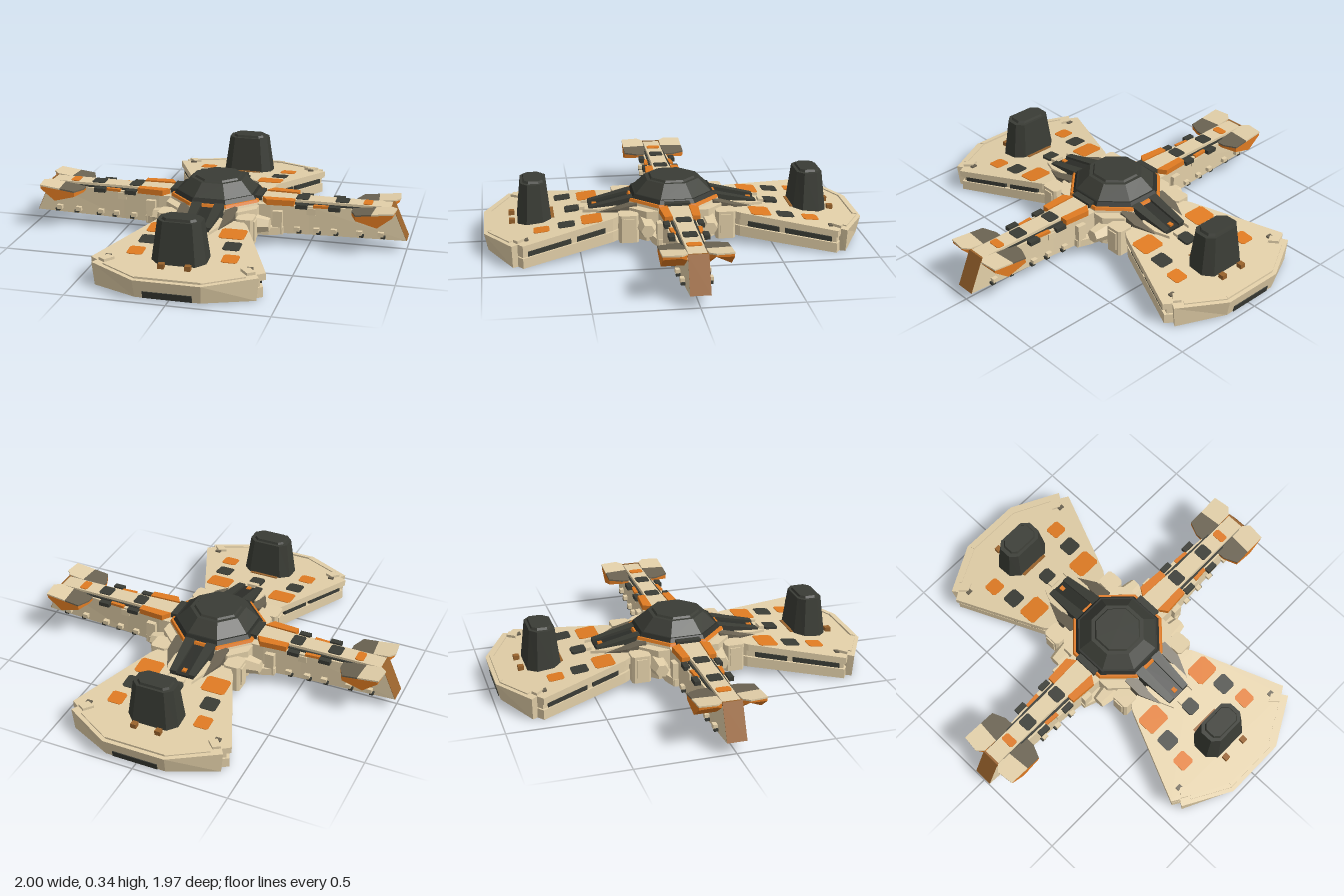
import * as THREE from 'three';

const paint = (name, color) => {
  const m = new THREE.MeshStandardMaterial({ color });
  m.name = name;
  return m;
};

export function createModel() {
  const sand = paint('sand hull', 0xe2cfa8);
  const dark = paint('charcoal', 0x3a3c35);
  const black = paint('deep charcoal', 0x2c2e29);
  const orange = paint('orange', 0xe07b22);
  const brown = paint('brown', 0x9a632c);
  const shade = paint('grey brown', 0x6b6352);

  const add = (parent, name, geo, mat) => {
    const m = new THREE.Mesh(geo, mat);
    m.name = name;
    parent.add(m);
    return m;
  };
  const box = (parent, name, mat, w, h, d, x, y, z) => {
    const m = add(parent, name, new THREE.BoxGeometry(w, h, d), mat);
    m.position.set(x, y, z);
    return m;
  };
  // Prism over an [x, z] outline; warp moves each vertex, with v.y exactly 0 (bottom) or 1 (top)
  const slab = (parent, name, mat, pts, warp) => {
    const shape = new THREE.Shape(pts.map(([x, z]) => new THREE.Vector2(x, -z)));
    const g = new THREE.ExtrudeGeometry(shape, { depth: 1, bevelEnabled: false });
    g.rotateX(-Math.PI / 2);
    const p = g.attributes.position, v = new THREE.Vector3();
    for (let i = 0; i < p.count; i++) {
      v.fromBufferAttribute(p, i);
      v.y = Math.round(v.y);
      warp(v);
      p.setXYZ(i, v.x, v.y, v.z);
    }
    g.computeVertexNormals();
    return add(parent, name, g, mat);
  };
  const mirrorX = (half) => [...half, ...half.map(([x, z]) => [-x, z]).reverse()];
  const mirrorZ = (half) => [...half, ...half.map(([x, z]) => [x, -z]).reverse()];
  const rect = (x0, x1, z0, z1, c = 0) => [
    [x0 + c, z0], [x1 - c, z0], [x1, z0 + c], [x1, z1 - c],
    [x1 - c, z1], [x0 + c, z1], [x0, z1 - c], [x0, z0 + c]];
  const flat = (y0, y1) => (v) => { v.y = y0 + (y1 - y0) * v.y; };

  // Sloping upper and lower faces of the broad wings
  const top = (z) => 0.11 + (1 - z) * 0.11;
  const bot = (z) => (z < 0.82 ? 0.008 + (0.82 - z) * 0.09 : 0.008 + (z - 0.82) * 0.08);
  const layer = (t0, t1) => (v) => {
    const t = t0 + (t1 - t0) * v.y;
    v.y = bot(v.z) + (top(v.z) - bot(v.z)) * t;
  };
  const onTop = (lo, hi) => (v) => { v.y = top(v.z) + lo + (hi - lo) * v.y; };

  function makeWing() {
    const g = new THREE.Group();
    g.name = 'broadWing';
    const main = (i) => mirrorX([[0.2 - i, 0.29], [0.23 - i, 0.33], [0.43 - i, 0.795], [0.39 - i, 0.82]]);
    slab(g, 'lowerWingHull', sand, main(0.012), layer(0, 0.42));
    slab(g, 'wingSideRecess', sand, main(0.028), layer(0.42, 0.72));
    slab(g, 'upperWingHull', sand, main(0), layer(0.72, 1));
    slab(g, 'wingProw', sand, mirrorX([[0.39, 0.82], [0.41, 0.85], [0.165, 0.985]]), (v) => {
      const lower = v.y === 0;
      layer(0, 1)(v);
      if (lower) {
        v.x *= 0.97;
        v.z = 0.82 + (v.z - 0.82) * 0.88;
      }
    });
    box(g, 'prowHatch', dark, 0.24, 0.035, 0.009, 0, 0.04, 0.969).rotation.x = 0.21;
    slab(g, 'prowRidge', sand, mirrorX([[0.15, 0.945], [0.16, 0.965]]), onTop(-0.01, 0.01));

    for (const s of [-1, 1]) {
      const m = (pts) => pts.map(([x, z]) => [s * x, z]);
      // Painted deck panels
      slab(g, 'largeDeckPanel', orange, m(rect(0.12, 0.25, 0.385, 0.49, 0.012)), onTop(-0.003, 0.003));
      slab(g, 'darkDeckPanel', dark, m(rect(0.17, 0.255, 0.525, 0.61, 0.01)), onTop(-0.003, 0.003));
      slab(g, 'smallDeckPanel', orange, m(rect(0.195, 0.275, 0.655, 0.735, 0.01)), onTop(-0.003, 0.003));
      // Equipment bars in the side slots
      for (const [z0, z1] of [[0.37, 0.52], [0.55, 0.77]]) {
        const x = (z) => 0.23 + (z - 0.33) * 0.43;
        slab(g, 'sideSlotBar', dark, m([[x(z0) - 0.05, z0], [x(z0) - 0.012, z0],
          [x(z1) - 0.012, z1], [x(z1) - 0.05, z1]]), layer(0.46, 0.66));
      }
      // Corner clamps, ridges and tower-foot knobs
      slab(g, 'cornerClamp', sand, m([[0.31, 0.8], [0.35, 0.78], [0.385, 0.82], [0.35, 0.84]]), onTop(-0.01, 0.014));
      slab(g, 'cornerClampGap', shade, m(rect(0.335, 0.365, 0.765, 0.785)), onTop(-0.01, 0.008));
      slab(g, 'prowSideRidge', sand, m([[0.15, 0.945], [0.34, 0.845], [0.35, 0.86], [0.16, 0.965]]), onTop(-0.01, 0.006));
      box(g, 'footKnob', brown, 0.03, 0.025, 0.03, s * 0.065, 0.138, 0.84);
      // Pointed cheeks beside the ramp
      slab(g, 'rampCheek', sand, m([[0.065, 0.3], [0.1, 0.3], [0.1, 0.4], [0.068, 0.475]]), onTop(-0.03, 0.015));
      slab(g, 'rampFlank', shade, m([[0.09, 0.19], [0.15, 0.2], [0.15, 0.3], [0.1, 0.41]]), (v) => {
        v.y = v.y ? 0.23 - (v.z - 0.2) * 0.26 : 0.09;
      });
      slab(g, 'rampRail', dark, m([[0.032, 0.18], [0.09, 0.18], [0.07, 0.44], [0.034, 0.44]]), (v) => {
        v.y = v.y ? 0.255 - (v.z - 0.18) * 0.23 : 0.1;
      });
    }
    // Dark ramp joining wing to hub
    slab(g, 'rampCentre', black, rect(-0.035, 0.035, 0.18, 0.44), (v) => {
      v.y = v.y ? 0.24 - (v.z - 0.18) * 0.22 : 0.1;
    });
    box(g, 'rampLamp', orange, 0.022, 0.014, 0.025, 0, 0.19, 0.41);
    slab(g, 'deckVent', dark, rect(-0.036, 0.036, 0.49, 0.565, 0.01), onTop(-0.01, 0.012));
    slab(g, 'ventFrame', sand, rect(-0.03, 0.03, 0.462, 0.49), onTop(-0.01, 0.016));

    // Tall tapered tower
    const taper = (kx, kz, y0, y1) => (v) => {
      v.x *= 1 + (kx - 1) * v.y;
      v.z = 0.725 + (v.z - 0.725) * (1 + (kz - 1) * v.y);
      v.y = y0 + (y1 - y0) * v.y;
    };
    slab(g, 'tower', dark, rect(-0.138, 0.138, 0.635, 0.812, 0.045), taper(0.78, 0.74, 0.12, 0.34));
    slab(g, 'towerCap', dark, rect(-0.09, 0.09, 0.672, 0.778, 0.025), taper(0.9, 0.9, 0.335, 0.352));
    slab(g, 'towerCollar', brown, rect(-0.08, 0.08, 0.622, 0.64), onTop(-0.01, 0.004));
    // Underside hatch
    slab(g, 'bellyHatch', dark, rect(-0.09, 0.09, 0.48, 0.6, 0.035), (v) => { v.y = bot(v.z) - 0.006 + 0.012 * v.y; });
    slab(g, 'bellyHatchDoor', black, rect(-0.05, 0.05, 0.51, 0.57), (v) => { v.y = bot(v.z) - 0.01 + 0.012 * v.y; });
    return g;
  }

  function makeArm() {
    const g = new THREE.Group();
    g.name = 'longArm';
    const rake = (y0, y1) => (v) => {
      v.y = y0 + (y1 - y0) * v.y;
      if (v.x > 0.9) v.x = 1 - 0.44 * (v.y - 0.07);
    };
    slab(g, 'armHull', sand, mirrorZ([[0.15, 0.1], [0.3, 0.098], [0.5, 0.08], [0.99, 0.05]]), rake(0.07, 0.222));
    slab(g, 'armSpine', sand, mirrorZ([[0.2, 0.06], [0.5, 0.045], [0.99, 0.045]]), rake(0.22, 0.242));
    slab(g, 'armEndCap', brown, rect(0.975, 0.99, -0.05, 0.05), (v) => {
      const outer = v.x > 0.98;
      v.y = 0.07 + 0.175 * v.y;
      v.x = 1 - 0.44 * (v.y - 0.07) + (outer ? 0.002 : -0.008);
    });
    // Painted top panels
    for (const [x0, x1, w, mat] of [[0.42, 0.485, 0.038, dark], [0.625, 0.695, 0.036, dark], [0.77, 0.815, 0.036, orange]])
      slab(g, 'spinePanel', mat, rect(x0, x1, -w, w, 0.008), flat(0.238, 0.246));
    for (const s of [-1, 1]) {
      const m = (pts) => pts.map(([x, z]) => [x, s * z]);
      slab(g, 'shoulderPanel', orange, m([[0.25, 0.055], [0.42, 0.05], [0.42, 0.09], [0.28, 0.1]]), flat(0.22, 0.25));
      slab(g, 'edgeGroove', dark, m([[0.42, 0.05], [0.9, 0.045], [0.9, 0.053], [0.42, 0.062]]), flat(0.218, 0.23));
      slab(g, 'edgeRail', orange, m([[0.52, 0.062], [0.6, 0.058], [0.6, 0.076], [0.52, 0.082]]), flat(0.216, 0.23));
      // Side nubs high and low
      for (const x of [0.46, 0.63]) box(g, 'upperNub', dark, 0.06, 0.022, 0.03, x, 0.222, s * 0.085);
      for (const x of [0.44, 0.54, 0.63, 0.76, 0.87]) {
        box(g, 'lowerNub', sand, 0.03, 0.022, 0.03, x, 0.1, s * (0.09 - (x - 0.44) * 0.06));
        box(g, 'lowerNubFoot', dark, 0.022, 0.014, 0.026, x + 0.012, 0.086, s * (0.09 - (x - 0.44) * 0.06));
      }
      box(g, 'sidePort', sand, 0.045, 0.035, 0.012, 0.51, 0.195, s * 0.08);
      // Flared fin: sand and grey deck over an orange keel
      const deckY = (x) => 0.225 + (x - 0.72) * 0.12;
      const keelY = (x) => (x < 0.86 ? 0.205 - (x - 0.72) * 0.27 : 0.167 + (x - 0.86) * 0.8);
      const deck = (v) => { v.y = deckY(v.x) - (v.y ? 0 : 0.008); };
      const keel = (v) => { v.y = v.y ? deckY(v.x) - 0.008 : keelY(v.x); };
      slab(g, 'finInnerDeck', shade, m([[0.72, 0.05], [0.84, 0.05], [0.83, 0.17], [0.75, 0.17], [0.72, 0.1]]), deck);
      slab(g, 'finOuterDeck', sand, m([[0.84, 0.05], [0.92, 0.05], [0.95, 0.08], [0.94, 0.17], [0.83, 0.17]]), deck);
      slab(g, 'finKeel', orange, m([[0.72, 0.05], [0.86, 0.05], [0.92, 0.05], [0.945, 0.08],
        [0.937, 0.168], [0.86, 0.168], [0.75, 0.168], [0.72, 0.1]]), keel);
    }
    return g;
  }

  function makeHub() {
    const g = new THREE.Group();
    g.name = 'hub';
    const octagon = (name, mat, r0, r1, y0, y1) => {
      const k = 1 / Math.cos(Math.PI / 8);
      const geo = new THREE.CylinderGeometry(r1 * k, r0 * k, y1 - y0, 8).toNonIndexed();
      geo.rotateY(Math.PI / 8);
      geo.computeVertexNormals();
      add(g, name, geo, mat).position.y = (y0 + y1) / 2;
    };
    slab(g, 'hubBody', sand, rect(-0.24, 0.24, -0.24, 0.24, 0.08), flat(0.058, 0.215));
    octagon('hubCollar', sand, 0.235, 0.232, 0.215, 0.228);
    octagon('hubRim', orange, 0.234, 0.228, 0.228, 0.242);
    octagon('domeBase', black, 0.222, 0.205, 0.235, 0.262);
    octagon('dome', dark, 0.203, 0.135, 0.255, 0.325);
    octagon('domeCap', dark, 0.12, 0.11, 0.32, 0.335);
    for (const sx of [-1, 1]) {
      box(g, 'domeClamp', dark, 0.06, 0.025, 0.13, sx * 0.215, 0.243, 0);
      for (const sz of [-1, 1]) {
        // Corner housings and hexagonal drums
        slab(g, 'cornerHousing', sand, rect(0.16, 0.25, 0.2, 0.3, 0.012).map(([x, z]) => [x * sx, z * sz]), flat(0.055, 0.2));
        box(g, 'housingPanel', sand, 0.012, 0.1, 0.055, sx * 0.251, 0.135, sz * 0.25);
        const drum = new THREE.CylinderGeometry(0.035, 0.055, 0.1, 6).toNonIndexed();
        drum.rotateZ(-sx * Math.PI / 2);
        drum.computeVertexNormals();
        add(g, 'hexDrum', drum, sand).position.set(sx * 0.26, 0.135, sz * 0.16);
        slab(g, 'armBrace', sand, [[0.2, 0.08], [0.37, 0.08], [0.37, 0.115], [0.3, 0.14], [0.2, 0.15]]
          .map(([x, z]) => [x * sx, z * sz]), flat(0.07, 0.11));
        box(g, 'armBracket', sand, 0.05, 0.12, 0.04, sx * 0.34, 0.135, sz * 0.1);
        box(g, 'bellyPort', black, 0.05, 0.012, 0.035, sx * 0.045, 0.045, sz * 0.035);
      }
    }
    // Underside plate
    slab(g, 'bellyRim', dark, rect(-0.21, 0.21, -0.16, 0.16, 0.07), flat(0.052, 0.07));
    slab(g, 'bellyPlate', shade, rect(-0.16, 0.16, -0.11, 0.11, 0.05), flat(0.047, 0.06));
    return g;
  }

  const model = new THREE.Group();
  model.name = 'crossShip';
  model.add(makeHub());
  for (const turn of [0, Math.PI]) {
    for (const part of [makeWing(), makeArm()]) {
      part.rotation.y = turn;
      model.add(part);
    }
  }
  return model;
}
